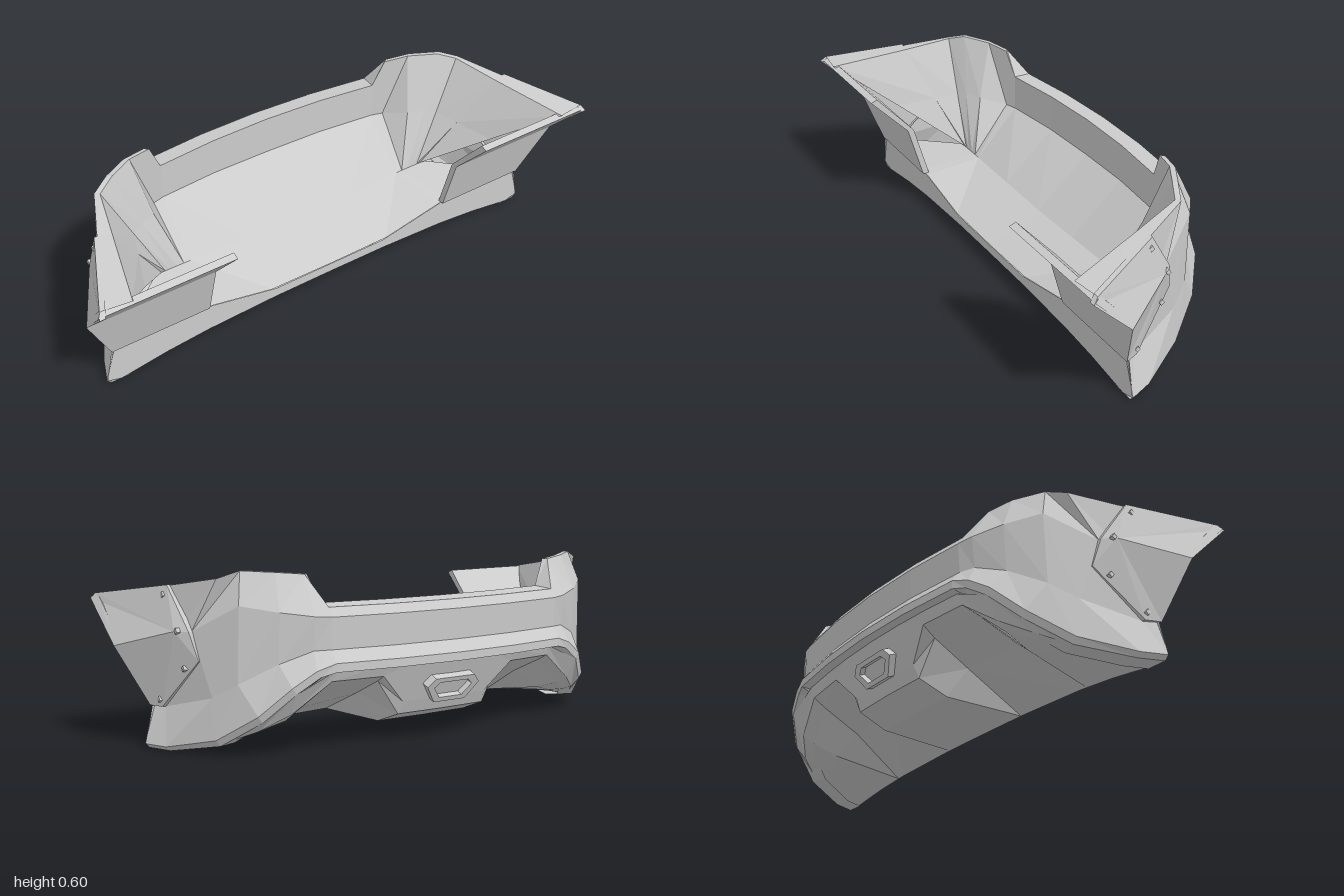
import * as THREE from 'three';

const material = new THREE.MeshStandardMaterial({ color: 0xcccccc, flatShading: true, side: THREE.DoubleSide });
const { lerp, clamp } = THREE.MathUtils;
const FRONT = .155;

const mix = (p, q, t) => p.map((v, i) => lerp(v, q[i], t));
const bend = x => .16 * x * x;                              // how far the back sweeps forward
const lowEdge = x => Math.max(0, .05 - .08 * x ** 3);       // height of the front bottom edge
const floorEdge = x => .085 + .2 * clamp(x - .24, 0, .275); // height of the floor's front edge

function meshFrom(tris, name) {
  const geo = new THREE.BufferGeometry();
  geo.setAttribute('position', new THREE.Float32BufferAttribute(tris.flat(), 3));
  geo.computeVertexNormals();
  const mesh = new THREE.Mesh(geo, material);
  mesh.name = name;
  return mesh;
}

// Skin over cross-sections, mirrored about x = 0 (first section lies on the centre line)
function skin(half, name) {
  const mirrored = half.slice(1).reverse().map(c => c.map(([x, y, z]) => [-x, y, z]));
  const cols = [...mirrored, ...half];
  const tris = [];
  for (let i = 0; i < cols.length - 1; i++) {
    for (let j = 0; j < cols[i].length - 1; j++) {
      const a = cols[i][j], b = cols[i + 1][j], c = cols[i + 1][j + 1], d = cols[i][j + 1];
      // the quads split symmetrically on both sides
      if (i < mirrored.length) tris.push(a, b, d, b, c, d);
      else tris.push(a, b, c, a, c, d);
    }
  }
  return meshFrom(tris, name);
}

// Outer sections: inner rim, outer rim, upper crease, lower crease, lip top, lip bottom, lip underside
function shellSections() {
  // one back profile (y, z) swept across the middle
  const profile = [[.487, -.255], [.48, -.325], [.45, -.345], [.345, -.34], [.305, -.37], [.276, -.37], [.276, -.32]];
  const middle = [0, .24, .475].map(x => profile.map(([y, z], j) => [j ? x : x * .97, y + .03 * bend(x), z + bend(x)]));
  // raised corner and side: outer rim, two creases and lip top
  const corner = [
    [[.52, .583, -.217], [.53, .455, -.295], [.53, .345, -.285], [.54, .285, -.319]],
    [[.61, .591, -.19], [.63, .47, -.245], [.63, .305, -.237], [.615, .235, -.295]],
    [[.705, .597, -.13], [.73, .49, -.165], [.735, .24, -.16], [.70, .142, -.225]],
    [[.77, .573, -.095], [.82, .40, -.015], [.785, .19, -.08], [.785, .055, -.10]],
    [[.85, .543, .075], [.85, .37, .06], [.855, .14, .115], [.88, .015, .07]],
    [[.98, .50, .35], [.97, .34, .22], [.88, .14, .163], [.914, .015, FRONT]],
  ].map(section => {
    const [x, y, z] = section[0], lip = section[3];
    const rim = [x - .015 - .18 * Math.max(0, z + .1), y, z + .012];
    const lipBottom = [lip[0] - .015, Math.max(0, lip[1] - .021), lip[2]];
    const lipUnder = mix(lipBottom, [0, lipBottom[1], FRONT], .08);
    return [rim, ...section, lipBottom, lipUnder];
  });
  return [...middle, ...corner];
}

// Inside: from the floor's front edge back and up to the rim; the sides fan out from the floor corner
function innerSections(shell) {
  return shell.map(([rim]) => {
    const [x, , z] = rim;
    const frontX = Math.min(x * 1.09, .875);
    const front = [frontX, floorEdge(frontX), FRONT];
    const floor = [Math.min(x, .48 + .3 * (x - .48)), .17 + .02 * Math.min(x, .5), -.05];
    const wall = x < .58 ? [x, .345 + .02 * x, z] : mix(floor, rim, .5);
    return [front, floor, wall, rim];
  });
}

// Underside: low centre lobe, a rising tunnel each side, then a low outer lobe fading along the lip
function underSections(shell) {
  const lobe = [[.28, -.335], [.14, -.28], [.095, -.26], [.053, -.15]];
  const tunnel = [[.28, -.335], [.24, -.318], [.215, -.26], [.15, -.11]];
  const middle = [[0, 0, lobe], [.17, .2, lobe], [.29, .21, tunnel], [.45, .51, tunnel]]
    .map(([back, front, profile]) => [
      ...profile.map(([y, z], j) => [lerp(back, front, j / 5), y, z + bend(back)]),
      [front, lowEdge(front), FRONT],
    ]);
  const sides = shell.slice(4, 8).map(section => {
    const start = section[5], x = Math.min(start[0], .85) - .3 * Math.max(0, start[1] - .036);
    const sag = .37 * Math.max(0, start[1] - .036);
    return [0, .1, .2, .4, 1].map(t => {
      const p = mix(start, [x, lowEdge(x), FRONT], t);
      p[1] -= sag * Math.sin(Math.PI * Math.sqrt(t));
      return p;
    });
  });
  return [...middle, ...sides];
}

// Upright panel between the floor's front edge and the bottom edge
function frontSections() {
  return [0, .24, .515, .68, .86, .885].map((x, i) => [
    [i < 5 ? x : .912, i < 5 ? lowEdge(x) : .014, FRONT + .001],
    [x, floorEdge(x), FRONT + .001],
  ]);
}

// Bent wheel-arch liner: a thick sheet from the side wall inwards
function wheelLiner(s) {
  const face = [[1, .49, .365], [.982, .34, .222], [.885, .14, .166]];
  const back = face.map(([x, y, z]) => [x - .015, y + (y > .4 ? .01 : 0), z - .024]).reverse();
  const outer = [...face, ...back].map(([x, y, z]) => [s * x, y, z]);
  const inner = outer.map(([, y, z]) => [s * .515, y, z]);
  const tris = [];
  for (let i = 0; i < 6; i++) {
    const k = (i + 1) % 6;
    tris.push(inner[i], inner[k], outer[i], outer[i], inner[k], outer[k]);
  }
  for (const p of [inner, outer]) {
    for (const i of [0, 1]) tris.push(p[i], p[i + 1], p[5 - i], p[i + 1], p[4 - i], p[5 - i]);
  }
  return meshFrom(tris, 'wheelLiner');
}

// Faceted flare plate with a thin edge, plus its bolts
function flare(s) {
  const group = new THREE.Group();
  group.name = 'wheelFlare';
  const rim = [
    [.86, .545, .075], [.832, .40, -.018], [.81, .305, -.04], [.868, .14, .115],
    [.888, .14, .166], [.985, .34, .222], [1, .485, .37], [.99, .503, .352],
  ].map(([x, y, z]) => [s * x, y, z]);
  const hub = [s * .865, .40, .02];
  const back = ([x, y, z]) => [x - s * .02, y, z];
  const tris = [];
  rim.forEach((p, i) => {
    const q = rim[(i + 1) % rim.length];
    tris.push(hub, p, q, p, back(p), q, q, back(p), back(q));
  });
  group.add(meshFrom(tris, 'flarePlate'));
  for (const [x, y, z] of [[.868, .513, .085], [.858, .402, .01], [.835, .278, .01], [.872, .165, .12]]) {
    const bolt = new THREE.Mesh(new THREE.BoxGeometry(.014, .016, .014), material);
    bolt.position.set(s * x, y, z);
    bolt.rotation.x = .6;
    bolt.name = 'flareBolt';
    group.add(bolt);
  }
  return group;
}

// Six-sided lamp frame on the centre lobe
function rearLamp() {
  const group = new THREE.Group();
  group.name = 'rearLamp';
  const hexagon = (w, h, Type) => new Type([
    [-w, h * .35], [-w * .75, h], [w * .75, h], [w, h * .35], [w * .6, -h], [-w * .6, -h],
  ].map(p => new THREE.Vector2(...p)));
  const outline = hexagon(.11, .047, THREE.Shape);
  outline.holes.push(hexagon(.08, .03, THREE.Path));
  const frame = new THREE.Mesh(new THREE.ExtrudeGeometry(outline, { depth: .03, bevelEnabled: false }), material);
  frame.name = 'lampFrame';
  const lens = new THREE.Mesh(new THREE.ExtrudeGeometry(hexagon(.082, .032, THREE.Shape), { depth: .008, bevelEnabled: false }), material);
  lens.name = 'lampLens';
  group.add(frame, lens);
  group.position.set(0, .184, -.293);
  group.rotation.set(.4, Math.PI, 0, 'YXZ');
  return group;
}

export function createModel() {
  const model = new THREE.Group();
  model.name = 'rearBumper';
  const shell = shellSections();
  model.add(
    skin(shell, 'outerShell'),
    skin(innerSections(shell), 'innerShell'),
    skin(underSections(shell), 'diffuser'),
    skin(frontSections(), 'frontPanel'),
    rearLamp(),
  );
  for (const s of [1, -1]) model.add(wheelLiner(s), flare(s));
  return model;
}
